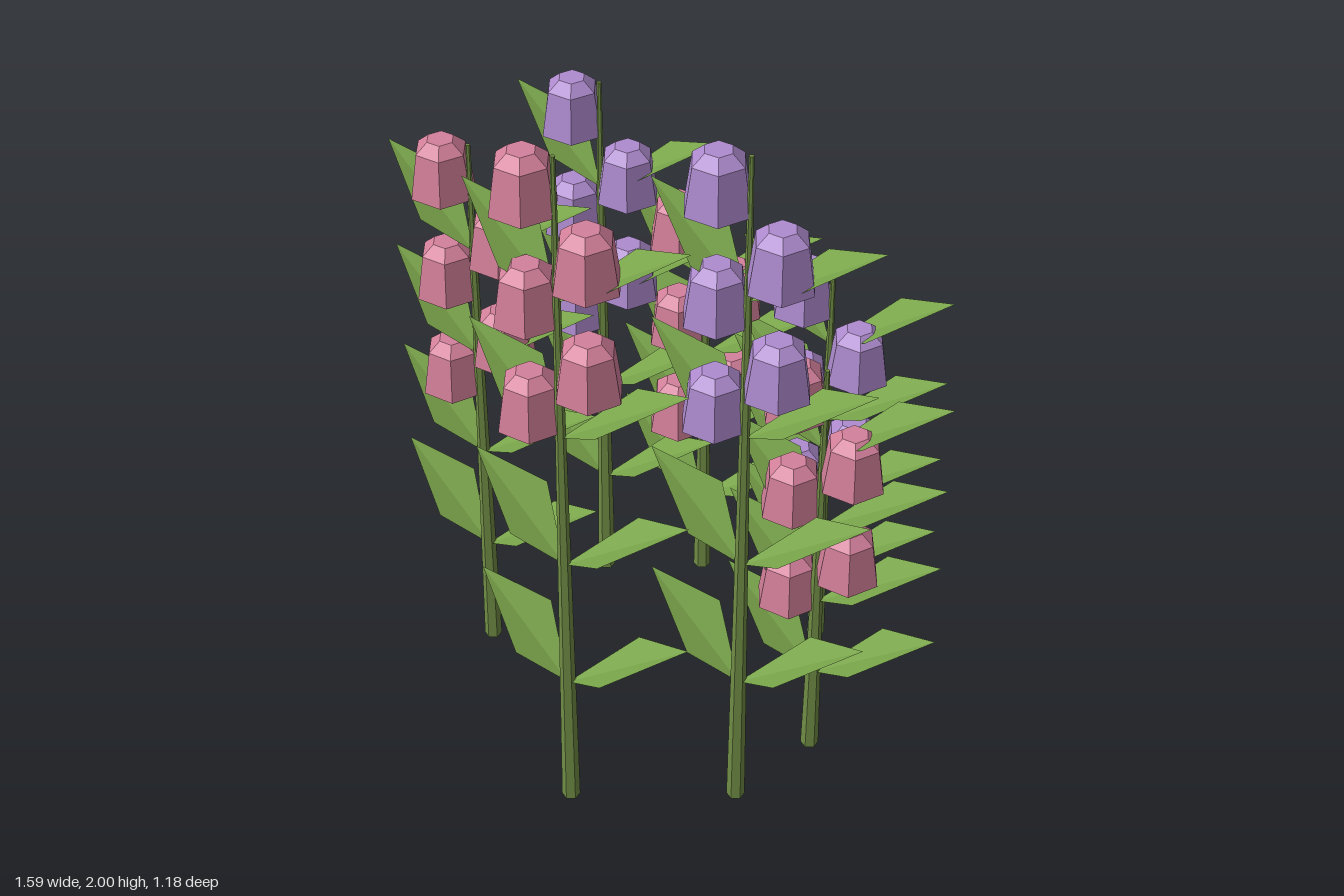
import * as THREE from 'three';

const mat = (name, color, side = THREE.FrontSide) => {
  const m = new THREE.MeshStandardMaterial({ color, flatShading: true, side });
  m.name = name;
  return m;
};

// Six-sided bell, hanging down from its origin, corners on the x axis
function bellGeometry() {
  const profile = [[0, -0.153], [0.087, -0.153], [0.068, -0.028], [0.036, 0], [0, 0]];
  return new THREE.LatheGeometry(profile.map(([r, y]) => new THREE.Vector2(r, y)), 6, Math.PI / 6);
}

// Folded diamond leaf: two triangles sharing a midrib; side is +1 or -1 along x
function leafGeometry(side) {
  const corners = [[0, 0, 0], [0.125, 0.08, 0.047], [0.307, 0.192, -0.08], [0.133, 0.115, -0.132]];
  const g = new THREE.BufferGeometry();
  g.setAttribute('position', new THREE.Float32BufferAttribute(
    corners.flatMap(([x, y, z]) => [x * side, y, z]), 3));
  g.setIndex(side > 0 ? [0, 1, 2, 0, 2, 3] : [0, 2, 1, 0, 3, 2]);
  const flat = g.toNonIndexed();
  flat.computeVertexNormals();
  return flat;
}

export function createModel() {
  const stemGreen = mat('stem green', 0x708c45);
  const leafGreen = mat('leaf green', 0x7ba64c, THREE.DoubleSide);
  const pink = mat('petal pink', 0xd4809b);
  const purple = mat('petal purple', 0xae8bce);

  const bell = bellGeometry();
  const leaves = { 1: leafGeometry(1), '-1': leafGeometry(-1) };

  function addMesh(parent, name, geometry, material, x, y) {
    const mesh = new THREE.Mesh(geometry, material);
    mesh.name = name;
    mesh.position.set(x, y, 0);
    parent.add(mesh);
  }

  function flowerStalk(height, petals) {
    const plant = new THREE.Group();
    plant.name = 'flowerStalk';

    // Tapered stem
    addMesh(plant, 'stem', new THREE.CylinderGeometry(0.006, 0.024, height, 6), stemGreen, 0, height / 2);

    // Four pairs of leaves
    for (let i = 1; i <= 4; i++) {
      for (const side of [-1, 1]) {
        addMesh(plant, side > 0 ? 'leftLeaf' : 'rightLeaf', leaves[side], leafGreen, 0, height * 0.2 * i + 0.008);
      }
    }

    // Five bells on alternating sides, from the top down
    for (let i = 0; i < 5; i++) {
      addMesh(plant, 'bellFlower', bell, petals, i % 2 ? 0.083 : -0.083, height - 0.01 - 0.153 * i);
    }
    return plant;
  }

  const model = new THREE.Group();
  model.name = 'flowerPatch';

  // x, z, height, petal colour
  const plants = [
    [0.033, 0.515, 2.0, pink],
    [0.405, 0.29, 2.0, purple],
    [-0.49, 0.107, 1.633, pink],
    [-0.37, -0.307, 1.633, purple],
    [0.482, 0.023, 1.265, pink],
    [0.29, -0.367, 1.265, purple],
    [-0.134, -0.453, 1.265, pink],
  ];
  for (const [x, z, height, petals] of plants) {
    const plant = flowerStalk(height, petals);
    plant.position.set(x, 0, z);
    model.add(plant);
  }
  return model;
}
